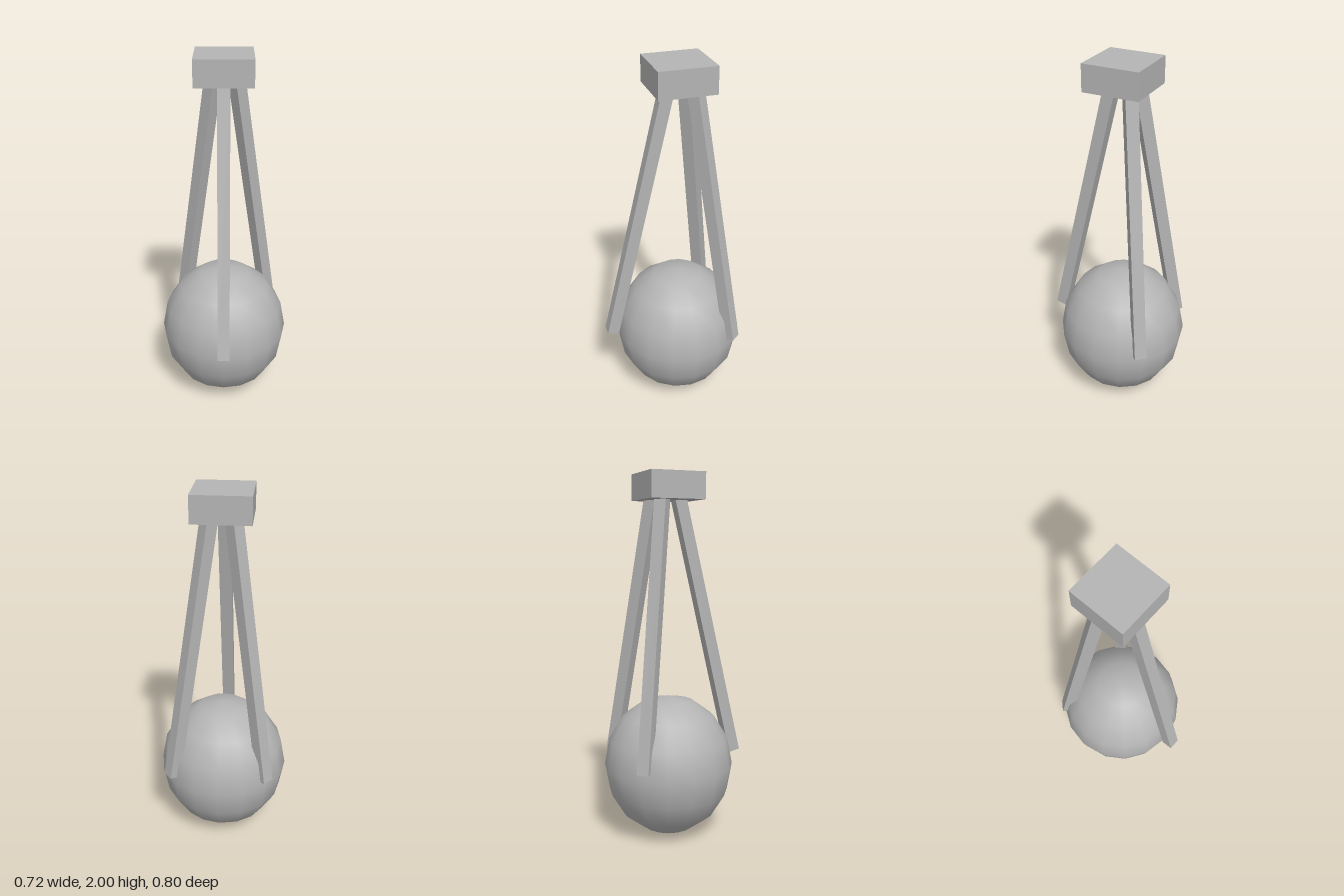
import * as THREE from 'three';

export function createModel() {
  const model = new THREE.Group();
  const gray = new THREE.MeshStandardMaterial({ color: 0xb4b4b4 });
  gray.name = 'gray';

  const add = (name, geometry, parent = model) => {
    const mesh = new THREE.Mesh(geometry, gray);
    mesh.name = name;
    parent.add(mesh);
    return mesh;
  };

  // Square block on top
  add('topBlock', new THREE.BoxGeometry(0.306, 0.142, 0.306)).position.set(0, 1.929, -0.037);

  // Slightly tall ball with few sides and smooth normals
  const ball = add('ball', new THREE.SphereGeometry(1, 16, 8).scale(0.361, 0.394, 0.361));
  ball.position.set(0, 0.394, -0.037);

  // Square bars: foot centre, heading of the outward lean, and lean from vertical
  const LENGTH = 1.53, WIDTH = 0.066;
  const addLeg = (name, foot, heading, lean) => {
    const leg = new THREE.Group();
    leg.name = name;
    leg.position.set(...foot);
    leg.rotation.set(-lean, heading, 0, 'YXZ');
    add(name + 'Bar', new THREE.BoxGeometry(WIDTH, LENGTH, WIDTH), leg).position.y = LENGTH / 2;
    model.add(leg);
  };
  addLeg('frontLeg', [0, 0.431, 0.366], 0, 0.233);
  addLeg('backLeftLeg', [0.267, 0.43, -0.274], Math.atan2(0.766, -0.643), 0.182);
  addLeg('backRightLeg', [-0.25, 0.43, -0.273], Math.atan2(-0.73, -0.68), 0.182);

  return model;
}
